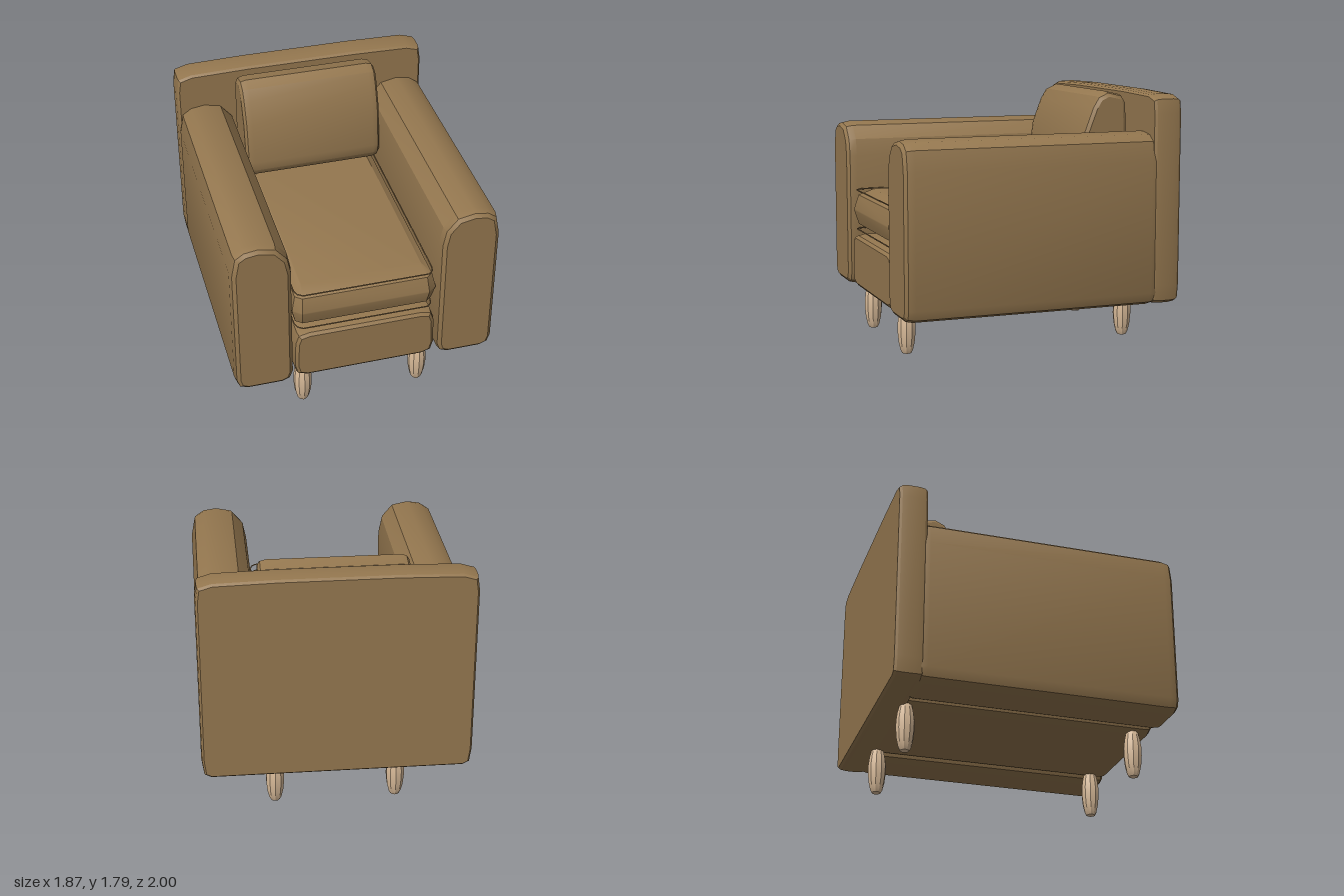
import * as THREE from 'three';
import { toCreasedNormals } from 'three/addons/utils/BufferGeometryUtils.js';

// Extrudes an outline from a to b; the ends are bevelled inside the outline.
function padded(outline, a, b, inset, bevel) {
  const shape = outline.isShape ? outline : new THREE.Shape(outline.map(([x, y]) => new THREE.Vector2(x, y)));
  const geo = new THREE.ExtrudeGeometry(shape, {
    depth: b - a - 2 * bevel, bevelEnabled: true, bevelSize: inset, bevelOffset: -inset,
    bevelThickness: bevel, bevelSegments: 2, curveSegments: 3,
  });
  return geo.translate(0, 0, a + bevel);
}

// Rectangle with chamfered corners, given as points.
function chamfered(x0, y0, x1, y1, cx, cy) {
  return [
    [x0 + cx, y0], [x1 - cx, y0], [x1, y0 + cy], [x1, y1 - cy],
    [x1 - cx, y1], [x0 + cx, y1], [x0, y1 - cy], [x0, y0 + cy],
  ];
}

export function createModel() {
  const model = new THREE.Group();
  model.name = 'armchair';
  const upholstery = new THREE.MeshStandardMaterial({ color: 0x94774f });
  upholstery.name = 'brown upholstery';
  const wood = new THREE.MeshStandardMaterial({ color: 0xd9bb99 });
  wood.name = 'pale wood';

  function add(name, geo, material = upholstery, crease = 0.5) {
    const mesh = new THREE.Mesh(toCreasedNormals(geo, crease), material);
    mesh.name = name;
    model.add(mesh);
    return mesh;
  }

  // Back panel with softened edges
  add('backPanel', padded(
    [[-0.87, 0.315], [0.87, 0.315], [0.92, 0.34], [0.935, 0.45], [0.935, 1.65], [0.92, 1.75], [0.82, 1.78],
      [0.4, 1.79], [-0.4, 1.79], [-0.82, 1.78], [-0.92, 1.75], [-0.935, 1.65], [-0.935, 0.45], [-0.92, 0.34]],
    -1, -0.8, 0.02, 0.06));

  // Arms with rounded tops, mirrored left and right
  const armOutline = [
    [0.6, 0.31], [0.85, 0.31], [0.91, 0.335], [0.932, 0.4], [0.932, 1.32], [0.905, 1.46],
    [0.84, 1.505], [0.74, 1.52], [0.62, 1.495], [0.54, 1.4], [0.516, 1.28], [0.516, 0.4], [0.54, 0.335],
  ];
  for (const side of [1, -1]) {
    const outline = armOutline.map(([x, y]) => [x * side, y]);
    if (side < 0) outline.reverse();
    add(side > 0 ? 'leftArm' : 'rightArm', padded(outline, -0.85, 0.995, 0.035, 0.07));
  }

  // Base under the seat
  add('seatBase', padded(
    [[-0.42, 0.315], [0.42, 0.315], [0.49, 0.34], [0.512, 0.42], [0.505, 0.62], [0.48, 0.69], [0.4, 0.71],
      [-0.4, 0.71], [-0.48, 0.69], [-0.505, 0.62], [-0.512, 0.42], [-0.49, 0.34]],
    -0.85, 0.97, 0.03, 0.06));

  // Seat cushion, bulging to a ridge at mid height
  const seat = padded(chamfered(-0.51, -0.97, 0.51, 0.8, 0.06, 0.05), 0.74, 1.04, 0.08, 0.145);
  seat.rotateX(-Math.PI / 2);
  // Slope the front edge back more than the sides
  const pos = seat.attributes.position;
  for (let i = 0; i < pos.count; i++) {
    if (pos.getZ(i) > 0.7) pos.setZ(i, pos.getZ(i) - Math.max(0, Math.abs(pos.getY(i) - 0.89) - 0.1) * 1.2);
  }
  add('seatCushion', seat);

  // Piping around the top and bottom of the cushion
  const loop = chamfered(-0.49, -0.79, 0.49, 0.95, 0.04, 0.04);
  for (const y of [0.745, 1.035]) {
    const path = new THREE.CurvePath();
    loop.forEach(([x, z], i) => {
      const [nx, nz] = loop[(i + 1) % loop.length];
      path.add(new THREE.LineCurve3(new THREE.Vector3(x, y, z), new THREE.Vector3(nx, y, nz)));
    });
    add('cushionPiping', new THREE.TubeGeometry(path, 120, 0.005, 5, true), upholstery, 1.3);
  }

  // Leaning back pillow; the outline holds -z and y
  const pillow = padded(
    [[0.45, 1.08], [0.53, 1.055], [0.73, 1.06], [0.78, 1.12], [0.795, 1.4], [0.785, 1.7],
      [0.75, 1.755], [0.64, 1.78], [0.565, 1.745], [0.52, 1.67], [0.455, 1.5], [0.415, 1.2], [0.42, 1.13]],
    -0.51, 0.51, 0.035, 0.06);
  add('backPillow', pillow.rotateY(Math.PI / 2));

  // Turned legs
  const legProfile = [[0, 0], [0.032, 0], [0.045, 0.025], [0.058, 0.08], [0.065, 0.15], [0.065, 0.21],
    [0.057, 0.27], [0.045, 0.32], [0.035, 0.35], [0, 0.35]].map(([r, y]) => new THREE.Vector2(r, y));
  for (const x of [-0.425, 0.425]) {
    for (const z of [-0.8, 0.84]) {
      const leg = add(z > 0 ? 'frontLeg' : 'backLeg', new THREE.LatheGeometry(legProfile, 10), wood, 0.3);
      leg.position.set(x, 0, z);
    }
  }
  return model;
}
